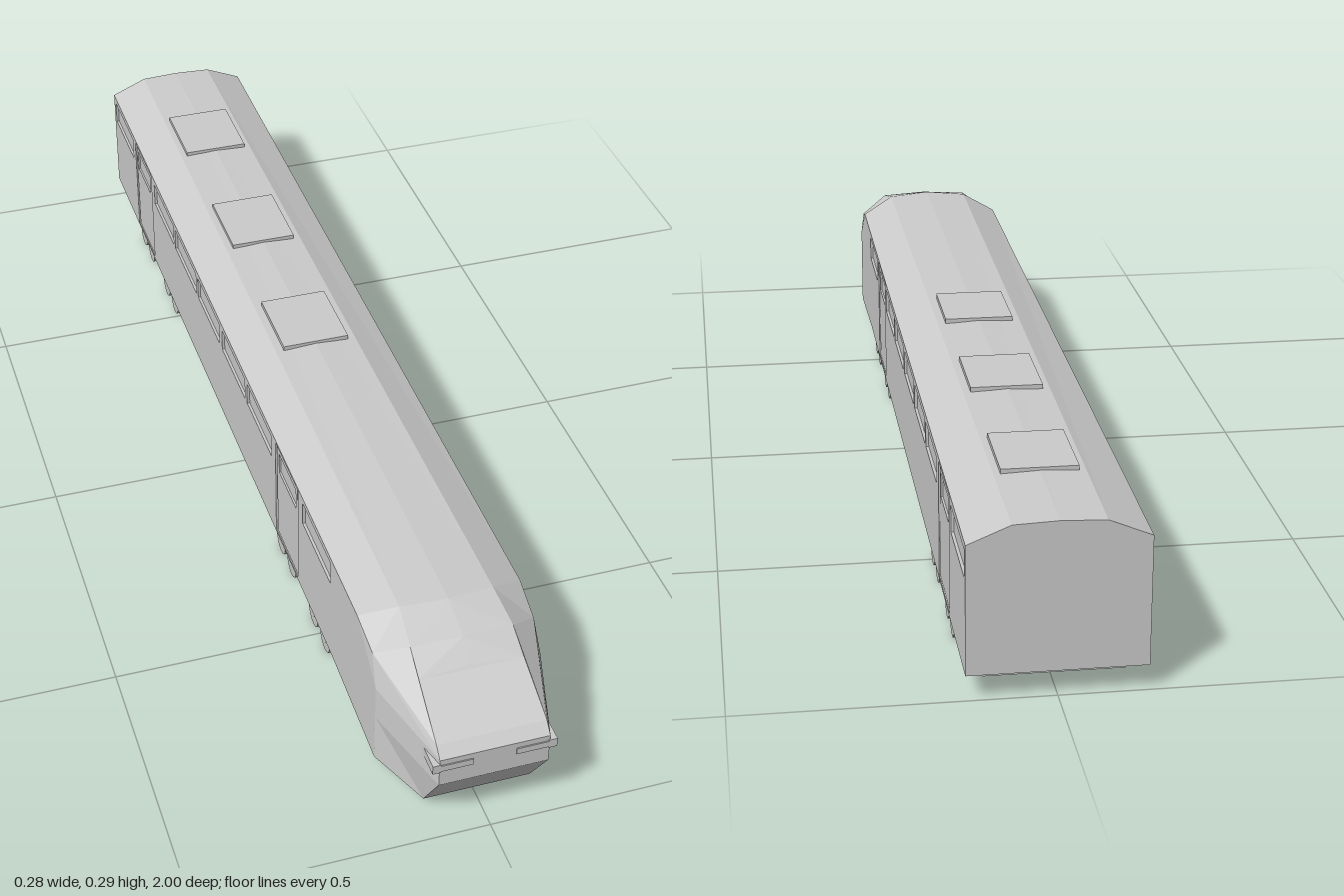
import * as THREE from 'three';

const W = 0.141; // half width of the car
// half cross-sections from tail to nose: sill, waist, belt, eave, shoulder, ridge
const SECTIONS = [
  [[W, .042, -1], [W, .12, -1], [W, .18, -1], [W, .257, -1], [.072, .286, -1], [0, .289, -1]],
  [[W, .042, .6], [W, .12, .74], [W, .18, .77], [W, .255, .73], [.08, .284, .76], [0, .289, .77]],
  [[W, .028, .83], [W, .12, .83], [W, .184, .83], [.138, .236, .8], [.087, .266, .835], [0, .27, .84]],
  [[.092, .022, .935], [.092, .12, .998], [.092, .175, .998], [.092, .192, .98], [.09, .236, .88], [0, .241, .875]],
];
const WINDOWS = [[.428, .588], [.075, .235], [-.1, .06], [-.28, -.12], [-.46, -.295], [-.635, -.475], [-.985, -.825]];
const DOORS = [[.262, .4], [-.802, -.662]];

const material = new THREE.MeshStandardMaterial({ color: 0xcccccc, flatShading: true });

function add(parent, name, geometry, x = 0, y = 0, z = 0) {
  const mesh = new THREE.Mesh(geometry, material);
  mesh.name = name;
  mesh.position.set(x, y, z);
  parent.add(mesh);
  return mesh;
}

function box(parent, name, [x0, x1], [y0, y1], [z0, z1]) {
  return add(parent, name, new THREE.BoxGeometry(x1 - x0, y1 - y0, z1 - z0),
    (x0 + x1) / 2, (y0 + y1) / 2, (z0 + z1) / 2);
}

// shell lofted through the sections; the straight side walls are left open
function shellGeometry() {
  const out = [];
  const flip = ([x, y, z]) => [-x, y, z];
  const tri = (a, b, c) => out.push(...a, ...b, ...c);
  const quad = (a, b, c, d) => { tri(a, b, d); tri(b, c, d); };
  const S = SECTIONS;
  for (let i = 0; i < 3; i++) {
    for (let j = i === 0 ? 3 : 0; j < 5; j++) {
      const [a, d, c, b] = [S[i][j], S[i][j + 1], S[i + 1][j + 1], S[i + 1][j]];
      quad(a, d, c, b);
      tri(flip(b), flip(d), flip(a));
      tri(flip(b), flip(c), flip(d));
    }
    quad(S[i][0], S[i + 1][0], flip(S[i + 1][0]), flip(S[i][0]));
  }
  // nose and windscreen
  const nose = S[3];
  for (let j = 0; j < 4; j++) quad(flip(nose[j]), nose[j], nose[j + 1], flip(nose[j + 1]));
  tri(flip(nose[4]), nose[4], nose[5]);
  // flat tail
  const rim = [...S[0], ...S[0].slice(0, 5).reverse().map(flip)];
  for (let k = 1; k < rim.length - 1; k++) tri(rim[0], rim[k + 1], rim[k]);
  const geometry = new THREE.BufferGeometry();
  geometry.setAttribute('position', new THREE.Float32BufferAttribute(out, 3));
  geometry.computeVertexNormals();
  return geometry;
}

const rect = (Type, [z0, z1], [y0, y1]) => new Type([
  new THREE.Vector2(z0, y0), new THREE.Vector2(z1, y0),
  new THREE.Vector2(z1, y1), new THREE.Vector2(z0, y1)]);

// a plate drawn in z and y, with its thickness along x
function plate(shape, depth) {
  return new THREE.ExtrudeGeometry(shape, { depth, bevelEnabled: false })
    .rotateY(-Math.PI / 2).translate(depth / 2, 0, 0);
}

function sideWall(parent, side) {
  const group = new THREE.Group();
  group.name = side > 0 ? 'leftSide' : 'rightSide';
  parent.add(group);
  const outline = [...SECTIONS[0].slice(0, 4).reverse(), ...SECTIONS[1].slice(0, 4)];
  const wall = new THREE.Shape(outline.map(([, y, z]) => new THREE.Vector2(z, y)));
  for (const w of WINDOWS) wall.holes.push(rect(THREE.Path, w, [.199, .244]));
  for (const d of DOORS) wall.holes.push(rect(THREE.Path, d, [.048, .25]));
  add(group, 'wall', plate(wall, .006), side * (W - .003));
  for (const w of WINDOWS) box(group, 'windowPane', [side * .135 - .001, side * .135 + .001], [.198, .245], w);
  for (const [z0, z1] of DOORS) {
    const leaf = rect(THREE.Shape, [z0 + .006, z1 - .006], [.05, .246]);
    leaf.holes.push(rect(THREE.Path, [z0 + .018, z1 - .018], [.196, .237]));
    add(group, 'doorLeaf', plate(leaf, .004), side * .1375);
    box(group, 'doorBacking', [side * .135 - .001, side * .135 + .001], [.047, .251], [z0, z1]);
  }
}

function bogie(parent, name, wheelZ) {
  const group = new THREE.Group();
  group.name = name;
  parent.add(group);
  const r = .027;
  const disc = (radius, width) => new THREE.CylinderGeometry(radius, radius, width, 16).rotateZ(Math.PI / 2);
  for (const side of [-1, 1]) {
    for (const z of wheelZ) {
      add(group, 'wheel', disc(r * .8, .014), side * .126, r, z);
      for (const dx of [-.006, .006]) add(group, 'wheelRim', disc(r, .006), side * .126 + dx, r, z);
      add(group, 'wheelHub', disc(.008, .019), side * .126, r, z);
    }
    // beam that carries the axles
    box(group, 'bogieBeam', [side * .126 - .006, side * .126 + .006], [.024, .044],
      [Math.min(...wheelZ), Math.max(...wheelZ)]);
  }
}

export function createModel() {
  const train = new THREE.Group();
  train.name = 'railcar';

  add(train, 'bodyShell', shellGeometry());
  for (const side of [-1, 1]) sideWall(train, side);

  // roof hatches
  for (const z of [[-.1, .05], [-.455, -.3], [-.81, -.66]]) {
    box(train, 'roofHatch', [-.062, .062], [.283, .294], z);
  }

  // headlights wrapping round the nose corners
  for (const side of [-1, 1]) {
    box(train, 'headlight', [side * .063 - .027, side * .063 + .027], [.152, .164], [.985, 1]);
    box(train, 'cornerLamp', [side * .097 - .007, side * .097 + .007], [.15, .167], [.957, 1]);
  }

  // equipment boxes under the floor
  box(train, 'underfloorBox', [-.11, .11], [.021, .044], [-.44, .205]);
  box(train, 'rearUnderfloorBox', [-.11, .11], [.021, .044], [-.965, -.855]);

  bogie(train, 'frontBogie', [.54, .472, .338, .272]);
  bogie(train, 'rearBogie', [-.518, -.586, -.72, -.786]);
  return train;
}
